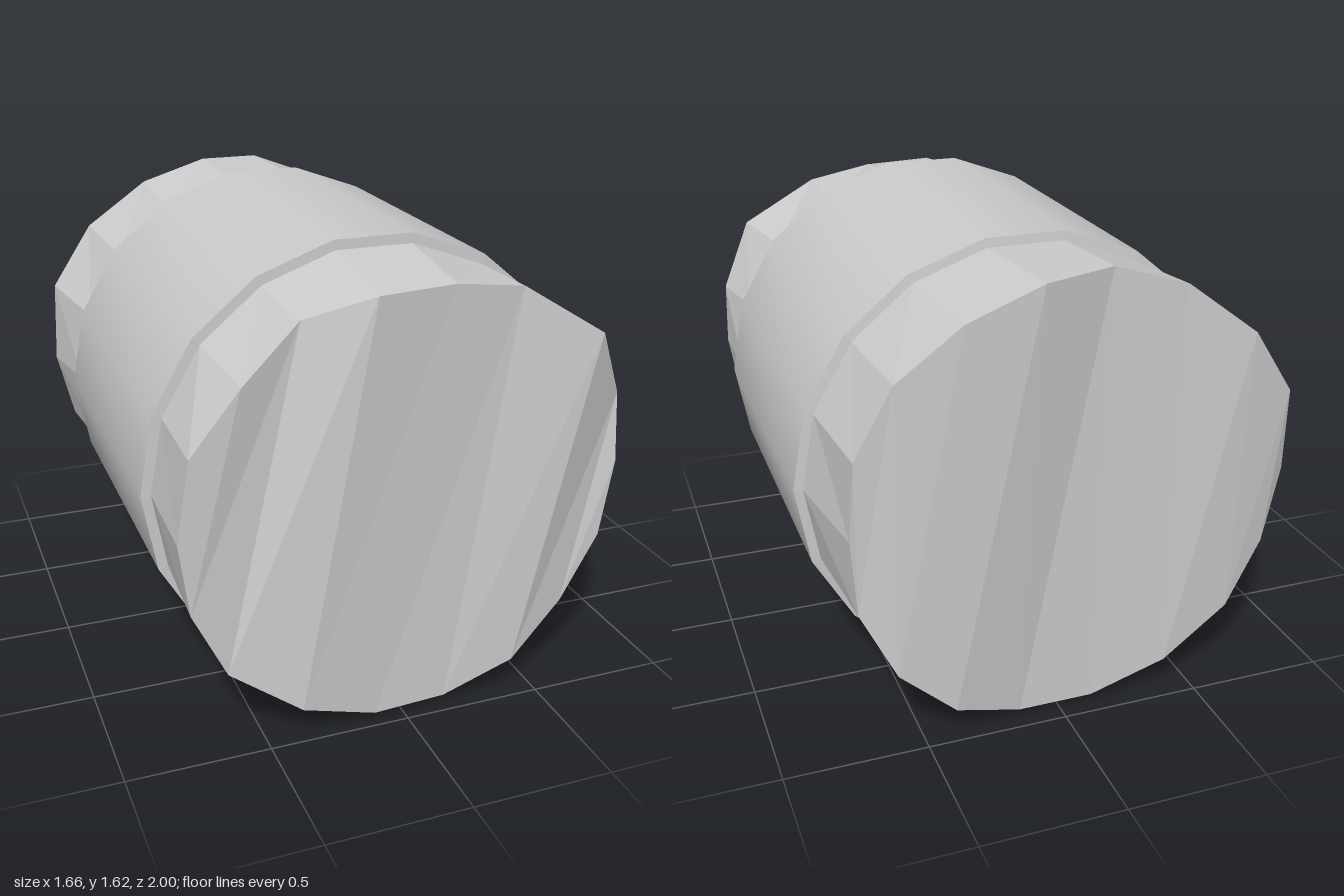
import * as THREE from 'three';

const N = 18;
const CX = 0.005, CY = 0.815;

// Regular ring of N points around the log axis
function circle(radius, z) {
  return Array.from({ length: N }, (_, i) => {
    const a = (i / N) * Math.PI * 2;
    return [CX + radius * Math.cos(a), CY + radius * Math.sin(a), z];
  });
}

// Uneven cut ends, counter-clockwise from the +x side
const frontEnd = [
  [0.8, 0.83, 0.925], [0.795, 1.08, 0.905], [0.675, 1.33, 0.98],
  [0.395, 1.505, 0.93], [0.14, 1.545, 0.96], [-0.14, 1.545, 1.0],
  [-0.365, 1.47, 0.92], [-0.57, 1.29, 0.96], [-0.74, 1.08, 0.96],
  [-0.785, 0.8, 0.96], [-0.75, 0.54, 0.96], [-0.63, 0.295, 0.955],
  [-0.385, 0.13, 1.0], [-0.11, 0.03, 0.965], [0.155, 0.035, 0.955],
  [0.41, 0.135, 0.97], [0.62, 0.31, 0.925], [0.755, 0.55, 0.925],
];
const backEnd = [
  [0.74, 0.82, -0.975], [0.72, 1.09, -0.975], [0.59, 1.33, -0.985],
  [0.37, 1.5, -1.0], [0.11, 1.6, -1.0], [-0.14, 1.612, -0.94],
  [-0.4, 1.53, -0.95], [-0.64, 1.35, -0.985], [-0.81, 1.11, -0.95],
  [-0.83, 0.8, -0.915], [-0.765, 0.53, -0.93], [-0.63, 0.3, -0.95],
  [-0.39, 0.13, -0.96], [-0.12, 0.03, -0.94], [0.15, 0.03, -0.94],
  [0.4, 0.13, -1.0], [0.6, 0.31, -1.0], [0.72, 0.55, -0.97],
];

function quad(index, a, b, c, d) {
  index.push(a, b, c, a, c, d);
}

function buildMesh(name, rings, index, flat) {
  let geometry = new THREE.BufferGeometry();
  geometry.setAttribute('position', new THREE.Float32BufferAttribute(rings.flat(2), 3));
  geometry.setIndex(index);
  if (flat) geometry = geometry.toNonIndexed();
  geometry.computeVertexNormals();
  const mesh = new THREE.Mesh(
    geometry,
    new THREE.MeshStandardMaterial({ color: 0xcccccc, flatShading: flat })
  );
  mesh.name = name;
  return mesh;
}

// Skin over closed rings ordered from back to front
function loft(name, rings, flat) {
  const index = [];
  for (let r = 0; r < rings.length - 1; r++) {
    for (let i = 0; i < N; i++) {
      const k = (i + 1) % N;
      quad(index, r * N + i, r * N + k, (r + 1) * N + k, (r + 1) * N + i);
    }
  }
  return buildMesh(name, rings, index, flat);
}

// End face in slanted strips; point i is paired with point (sum - i)
function cap(name, ring, sum, front) {
  const index = [];
  const pair = (i) => (sum - i + N) % N;
  const start = front ? 0 : 1;
  for (let i = start; i < start + 8; i++) {
    if (front) quad(index, i, i + 1, pair(i + 1), pair(i));
    else quad(index, i, pair(i), pair(i + 1), i + 1);
  }
  return buildMesh(name, [ring], index, true);
}

export function createModel() {
  const group = new THREE.Group();
  group.name = 'log';

  const backRim = circle(0.8225, -0.56);
  const frontRim = circle(0.8225, 0.61);
  const backBase = circle(0.79, -0.565);
  const frontBase = circle(0.787, 0.612);
  frontBase[2][2] = 0.635;

  // Smooth middle sleeve
  group.add(loft('sleeve', [backRim, frontRim], false));

  // Faceted stubs, each with a narrow step at the sleeve
  group.add(loft('backStub', [backEnd, backBase, backRim], true));
  group.add(loft('frontStub', [frontRim, frontBase, frontEnd], true));

  // Rough cut faces
  group.add(cap('backFace', backEnd, 1, false));
  group.add(cap('frontFace', frontEnd, 17, true));

  return group;
}
